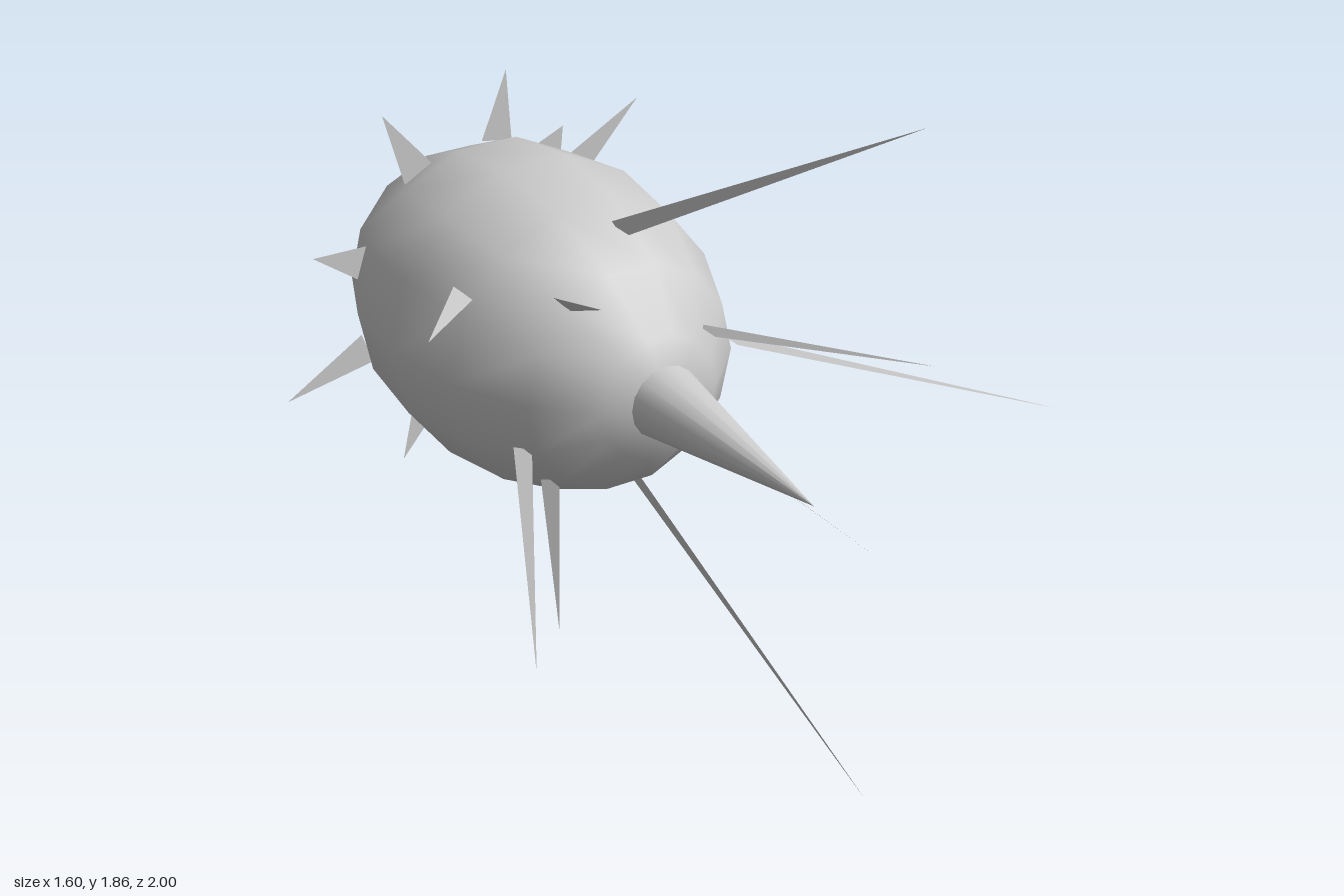
import * as THREE from 'three';

const CX = 0.0925, CY = 0.915, CZ = -0.385; // body centre
const RX = 0.42, RZ = 0.615;                // body radii

// radius of the body at a given z
const radiusAt = (z) => RX * Math.sqrt(Math.max(0, 1 - ((z - CZ) / RZ) ** 2));

// one flat triangular blade
function blade(name, a, b, tip, material) {
  const geometry = new THREE.BufferGeometry().setFromPoints([a, b, tip]);
  geometry.computeVertexNormals();
  const mesh = new THREE.Mesh(geometry, material);
  mesh.name = name;
  return mesh;
}

export function createModel() {
  const model = new THREE.Group();
  model.name = 'spikyBody';
  const grey = new THREE.MeshStandardMaterial({ color: 0xcccccc });
  grey.name = 'grey';
  const greyBlade = new THREE.MeshStandardMaterial({ color: 0xcccccc, side: THREE.DoubleSide });
  greyBlade.name = 'grey blade';

  // egg-shaped body, poles along z
  const bodyGeometry = new THREE.SphereGeometry(1, 14, 8);
  bodyGeometry.rotateX(Math.PI / 2);
  bodyGeometry.scale(RX, RX, RZ);
  const body = new THREE.Mesh(bodyGeometry, grey);
  body.name = 'body';
  body.position.set(CX, CY, CZ);
  model.add(body);

  // pointed snout
  const snoutGeometry = new THREE.ConeGeometry(0.095, 0.6, 16);
  snoutGeometry.rotateX(Math.PI / 2);
  const snout = new THREE.Mesh(snoutGeometry, grey);
  snout.name = 'snout';
  snout.position.set(CX, CY, 0.5);
  model.add(snout);

  // long blades swept forward, base edge along z: tip x, y, z and base z
  const whiskers = [
    [0.80, 0.96, 0.79, 0.03],
    [0.40, 1.19, 0.82, 0.15],
    [0.19, 1.87, 1.00, -0.06],
    [-0.24, 1.34, 0.44, 0.03],
    [-0.80, 1.50, 0.66, -0.19],
    [-0.55, 0.62, 0.66, 0.01],
    [-0.28, 0.46, 0.32, 0.00],
    [0.32, 0.01, 0.75, -0.07],
    [0.38, 0.63, 0.69, 0.15],
  ];
  for (const [x, y, z, baseZ] of whiskers) {
    const angle = Math.atan2(y - CY, x - CX);
    const r = radiusAt(baseZ) - 0.01;
    const bx = CX + r * Math.cos(angle), by = CY + r * Math.sin(angle);
    model.add(blade('frontWhisker',
      new THREE.Vector3(bx, by, baseZ - 0.045),
      new THREE.Vector3(bx, by, baseZ + 0.045),
      new THREE.Vector3(x, y, z), greyBlade));
  }

  // ring of short blades standing straight out near the back: tip x, y
  const ringZ = -0.67;
  const spikes = [
    [0.61, 0.94], [0.58, 1.30], [0.35, 1.27], [0.18, 1.46], [-0.18, 1.41],
    [-0.39, 1.07], [-0.48, 0.69], [-0.15, 0.43], [0.21, 0.29], [0.61, 0.57],
  ];
  for (const [x, y] of spikes) {
    const angle = Math.atan2(y - CY, x - CX);
    const r = radiusAt(ringZ) - 0.01;
    const c = Math.cos(angle), s = Math.sin(angle), half = 0.045;
    model.add(blade('backSpike',
      new THREE.Vector3(CX + r * c + half * s, CY + r * s - half * c, ringZ),
      new THREE.Vector3(CX + r * c - half * s, CY + r * s + half * c, ringZ),
      new THREE.Vector3(x, y, ringZ), greyBlade));
  }
  return model;
}
